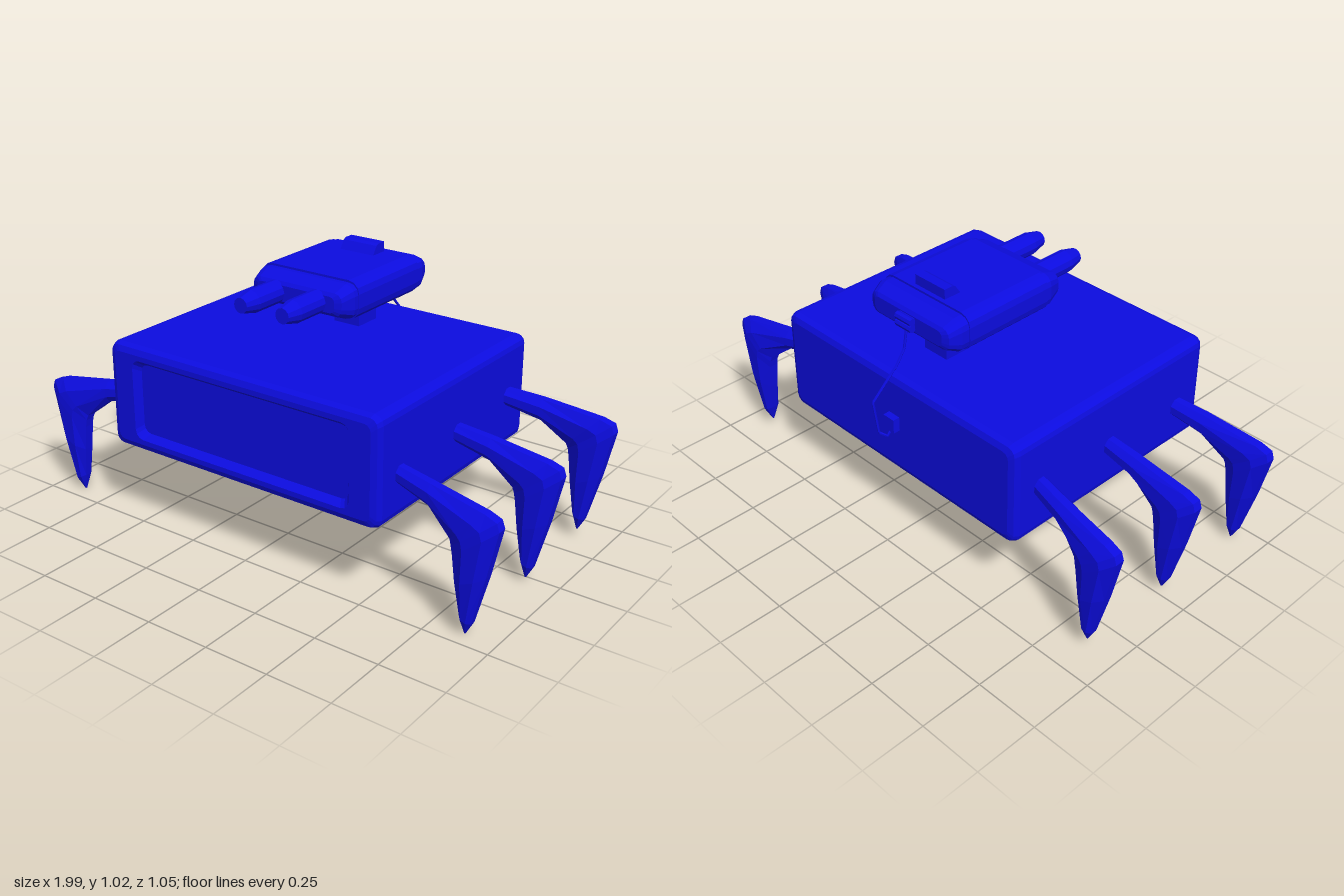
import * as THREE from 'three';

const material = new THREE.MeshStandardMaterial({ color: 0x0c0ce0, flatShading: true });

function part(name, geometry, parent, x = 0, y = 0, z = 0) {
  const mesh = new THREE.Mesh(geometry, material);
  mesh.name = name;
  mesh.position.set(x, y, z);
  parent.add(mesh);
  return mesh;
}

// Skin through rings of equal point count, capped at both ends
function loft(rings) {
  const n = rings[0].length, pos = [];
  const tri = (...p) => p.forEach(v => pos.push(v.x, v.y, v.z));
  for (let k = 0; k < rings.length - 1; k++) {
    for (let i = 0; i < n; i++) {
      const j = (i + 1) % n, a = rings[k], b = rings[k + 1];
      tri(a[i], a[j], b[j]);
      tri(a[i], b[j], b[i]);
    }
  }
  const first = rings[0], last = rings[rings.length - 1];
  for (let i = 1; i < n - 1; i++) {
    tri(first[0], first[i + 1], first[i]);
    tri(last[0], last[i], last[i + 1]);
  }
  const g = new THREE.BufferGeometry();
  g.setAttribute('position', new THREE.Float32BufferAttribute(pos, 3));
  g.computeVertexNormals();
  return g;
}

// Rounded rectangle in the xy plane at depth z
function roundedRing(w, h, r, z, seg = 3) {
  const pts = [];
  [[1, 1], [-1, 1], [-1, -1], [1, -1]].forEach(([sx, sy], q) => {
    for (let s = 0; s <= seg; s++) {
      const a = (q + s / seg) * Math.PI / 2;
      pts.push(new THREE.Vector3(sx * (w / 2 - r) + r * Math.cos(a), sy * (h / 2 - r) + r * Math.sin(a), z));
    }
  });
  return pts;
}

// Leg sections: outer point, inner point, half width
const legSections = [
  [0.55, 0.515, 0.55, 0.455, 0.03],
  [0.72, 0.497, 0.72, 0.415, 0.036],
  [0.94, 0.465, 0.815, 0.34, 0.043],
  [0.985, 0.45, 0.822, 0.32, 0.043],
  [0.995, 0.42, 0.828, 0.29, 0.044],
  [0.955, 0.24, 0.84, 0.19, 0.042],
  [0.905, 0.05, 0.858, 0.07, 0.028],
  [0.88, 0.002, 0.874, 0.004, 0.003],
];

function legGeometry(zRoot, zEnd, lift) {
  return loft(legSections.map(([ox, oy, ix, iy, w]) => {
    const ring = [], cx = (ox + ix) / 2, cy = (oy + iy) / 2;
    const zc = zRoot + (zEnd - zRoot) * Math.min(1, (cx - 0.55) / 0.35);
    for (let i = 0; i < 8; i++) {
      const a = (i + 0.5) * Math.PI / 4, c = Math.cos(a) * 1.08, s = Math.sin(a) * 1.08;
      ring.push(new THREE.Vector3(cx + c * (ox - ix) / 2, cy + c * (oy - iy) / 2 + lift, zc + s * w));
    }
    return ring;
  }));
}

export function createModel() {
  const model = new THREE.Group();
  model.name = 'walker';

  // Body with bevelled ends and a shallow recess in the front
  const W = 1.186, H = 0.408;
  part('body', loft([
    roundedRing(W - 0.06, H - 0.06, 0.025, -0.448),
    roundedRing(W - 0.018, H - 0.018, 0.03, -0.439),
    roundedRing(W, H, 0.035, -0.418),
    roundedRing(W, H, 0.035, 0.495),
    roundedRing(W - 0.018, H - 0.018, 0.03, 0.516),
    roundedRing(W - 0.06, H - 0.06, 0.025, 0.525),
    roundedRing(0.96, 0.31, 0.035, 0.525),
    roundedRing(0.92, 0.27, 0.03, 0.497),
  ]), model, -0.008, 0.517, 0);

  // Three legs per side, mirrored
  for (const side of [1, -1]) {
    const legs = new THREE.Group();
    legs.name = side > 0 ? 'leftLegs' : 'rightLegs';
    legs.scale.x = side;
    part('frontLeg', legGeometry(0.385, 0.438, 0), legs);
    part('middleLeg', legGeometry(0.03, 0.027, 0.016), legs);
    part('rearLeg', legGeometry(-0.312, -0.37, 0.034), legs);
    model.add(legs);
  }

  // Neck and turret
  const turret = new THREE.Group();
  turret.name = 'turret';
  turret.position.x = -0.01;
  model.add(turret);
  part('neck', new THREE.BoxGeometry(0.112, 0.16, 0.113), turret, 0, 0.78, -0.189);
  part('turretShell', loft([
    roundedRing(0.34, 0.06, 0.02, -0.37),
    roundedRing(0.39, 0.085, 0.03, -0.36),
    roundedRing(0.424, 0.128, 0.04, -0.315),
    roundedRing(0.424, 0.128, 0.04, 0.115),
    roundedRing(0.39, 0.085, 0.03, 0.17),
    roundedRing(0.34, 0.06, 0.02, 0.18),
  ]), turret, 0, 0.911, 0);
  part('turretBand', loft([
    roundedRing(0.43, 0.142, 0.045, -0.282),
    roundedRing(0.43, 0.142, 0.045, 0.095),
  ]), turret, 0, 0.912, 0);

  // Twin barrels with tapered muzzles
  const barrel = new THREE.LatheGeometry(
    [[0, 0.14], [0.043, 0.14], [0.043, 0.312], [0.029, 0.37], [0, 0.37]].map(p => new THREE.Vector2(...p)), 12);
  barrel.rotateX(Math.PI / 2);
  for (const x of [-0.091, 0.091]) part('barrel', barrel, turret, x, 0.912, 0);

  // Wedge-shaped sight on the turret roof
  const wedge = new THREE.Shape([[0.185, 0.97], [0.195, 0.985], [0.215, 1.015], [0.228, 1.021], [0.265, 1.021], [0.265, 0.97]]
    .map(p => new THREE.Vector2(...p)));
  const sight = new THREE.ExtrudeGeometry(wedge, { depth: 0.148, bevelEnabled: false });
  sight.translate(0, 0, -0.074).rotateY(Math.PI / 2);
  part('sight', sight, turret);

  // Rear connector, cable and socket
  const pin = new THREE.CylinderGeometry(0.015, 0.015, 0.076, 8).rotateZ(Math.PI / 2);
  for (const y of [0.9, 0.926]) part('connectorPin', pin, turret, 0, y, -0.382);
  part('connectorBase', new THREE.BoxGeometry(0.07, 0.05, 0.03), turret, 0, 0.912, -0.37);
  const points = [[-0.01, 0.9, -0.374], [-0.01, 0.81, -0.39], [-0.008, 0.755, -0.425], [0.014, 0.632, -0.521],
    [0.008, 0.5, -0.506], [-0.004, 0.477, -0.478], [-0.01, 0.515, -0.455]].map(p => new THREE.Vector3(...p));
  const path = new THREE.CurvePath();
  for (let i = 1; i < points.length; i++) path.add(new THREE.LineCurve3(points[i - 1], points[i]));
  part('cable', new THREE.TubeGeometry(path, 60, 0.005, 6), model);
  part('socket', new THREE.BoxGeometry(0.053, 0.056, 0.035), model, -0.01, 0.531, -0.458);

  return model;
}
